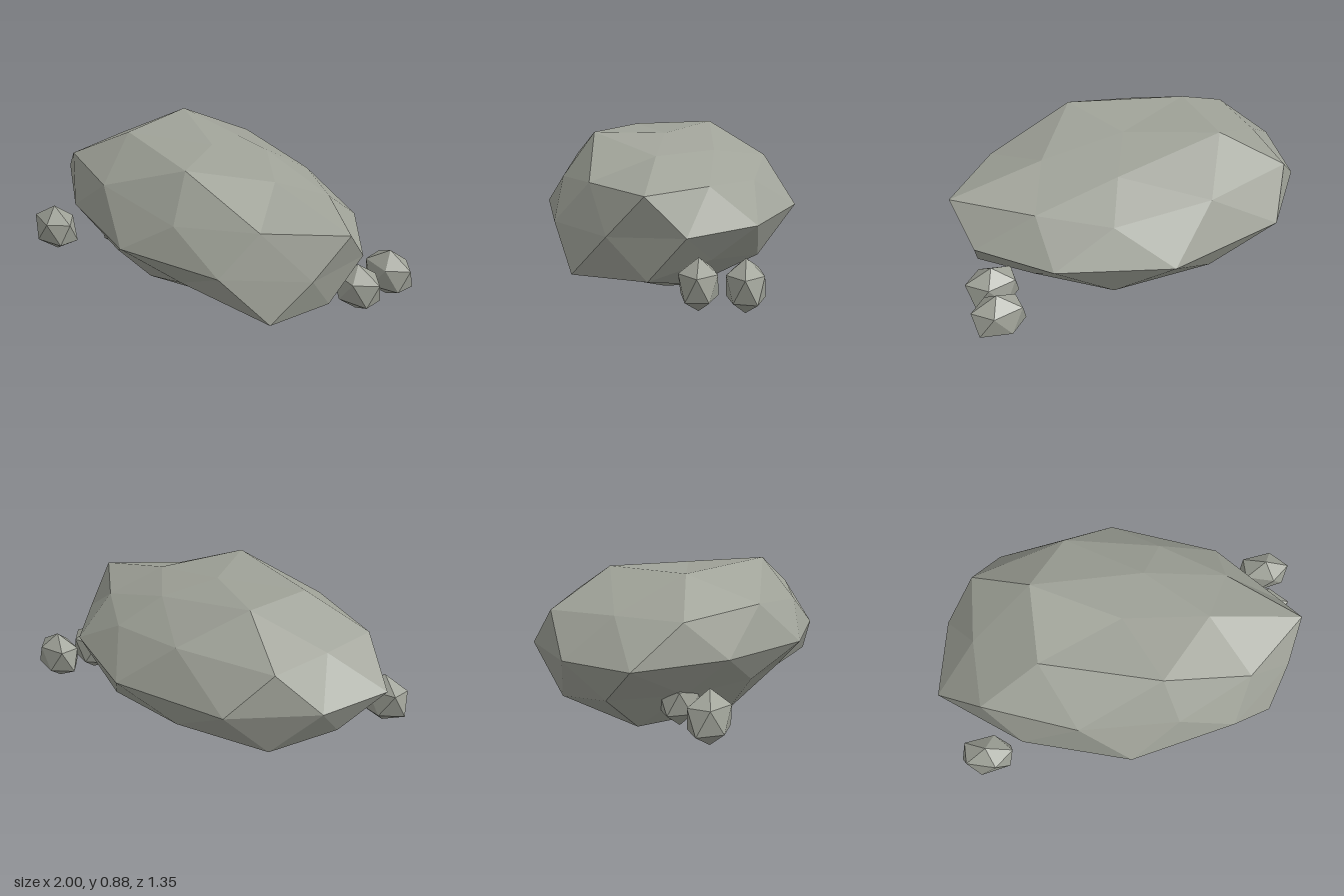
import * as THREE from 'three';

// Rings of a pole-up icosphere: [height, first angle in degrees, radius factor of each point].
// Angles run from +x towards +z.
const BOULDER_RINGS = [
  [1, 0, [0.875]],
  [0.851, 0, [0.86, 1.09, 1.03, 1.075, 0.84]],
  [0.526, 36, [0.935, 1.0, 0.915, 1.015, 0.845]],
  [0.447, 0, [1.062, 0.92, 1.04, 1.07, 0.88]],
  [0, 18, [0.93, 0.945, 0.99, 0.955, 1.051, 0.985, 1.085, 1.085, 0.972, 0.935]],
  [-0.447, 36, [1.085, 0.86, 0.97, 0.98, 0.85]],
  [-0.526, 0, [0.987, 0.83, 0.85, 1.05, 0.97]],
  [-0.851, 36, [0.91, 0.98, 1.075, 0.95, 0.95]],
  [-1, 0, [1.1]],
];

const material = new THREE.MeshStandardMaterial({ color: 0x9fa298, flatShading: true });

// Icosphere with a vertex at each pole, each point pushed out by radiusAt(direction)
function rockGeometry(detail, scale, radiusAt) {
  const geometry = new THREE.IcosahedronGeometry(1, detail);
  geometry.rotateZ(-Math.atan(2 / (1 + Math.sqrt(5))));
  const position = geometry.attributes.position;
  const p = new THREE.Vector3();
  for (let i = 0; i < position.count; i++) {
    p.fromBufferAttribute(position, i);
    p.multiplyScalar(radiusAt(p)).multiply(scale);
    position.setXYZ(i, p.x, p.y, p.z);
  }
  geometry.computeVertexNormals();
  return geometry;
}

// Looks up the factor of the ring point nearest to a direction
function boulderRadius(dir) {
  const [, start, factors] = BOULDER_RINGS.reduce((best, ring) =>
    Math.abs(ring[0] - dir.y) < Math.abs(best[0] - dir.y) ? ring : best);
  const n = factors.length;
  const degrees = THREE.MathUtils.radToDeg(Math.atan2(dir.z, dir.x));
  const index = Math.round((degrees - start) / (360 / n));
  return factors[((index % n) + n) % n];
}

export function createModel() {
  const group = new THREE.Group();
  group.name = 'rockCluster';

  const add = (name, geometry, x, y, z) => {
    const mesh = new THREE.Mesh(geometry, material);
    mesh.name = name;
    mesh.position.set(x, y, z);
    group.add(mesh);
  };

  // Large faceted boulder
  add('boulder', rockGeometry(1, new THREE.Vector3(1, 0.432, 0.65), boulderRadius), 0, 0.475, 0.03);

  // Small stones around it: position and size
  const stones = [
    [-0.77, 0.252, 0.53, 1.03],
    [-0.53, 0.245, 0.25, 1],
    [0.825, 0.244, -0.21, 1.01],
    [0.86, 0.253, -0.43, 1.01],
  ];
  const stoneScale = new THREE.Vector3(0.155, 0.132, 0.106);
  stones.forEach(([x, y, z, size], i) => {
    const uneven = (d) => size * (1 + 0.03 * Math.sin(5 * d.x + 3 * d.z + 2 * i));
    add('stone' + (i + 1), rockGeometry(0, stoneScale, uneven), x, y, z);
  });

  return group;
}
